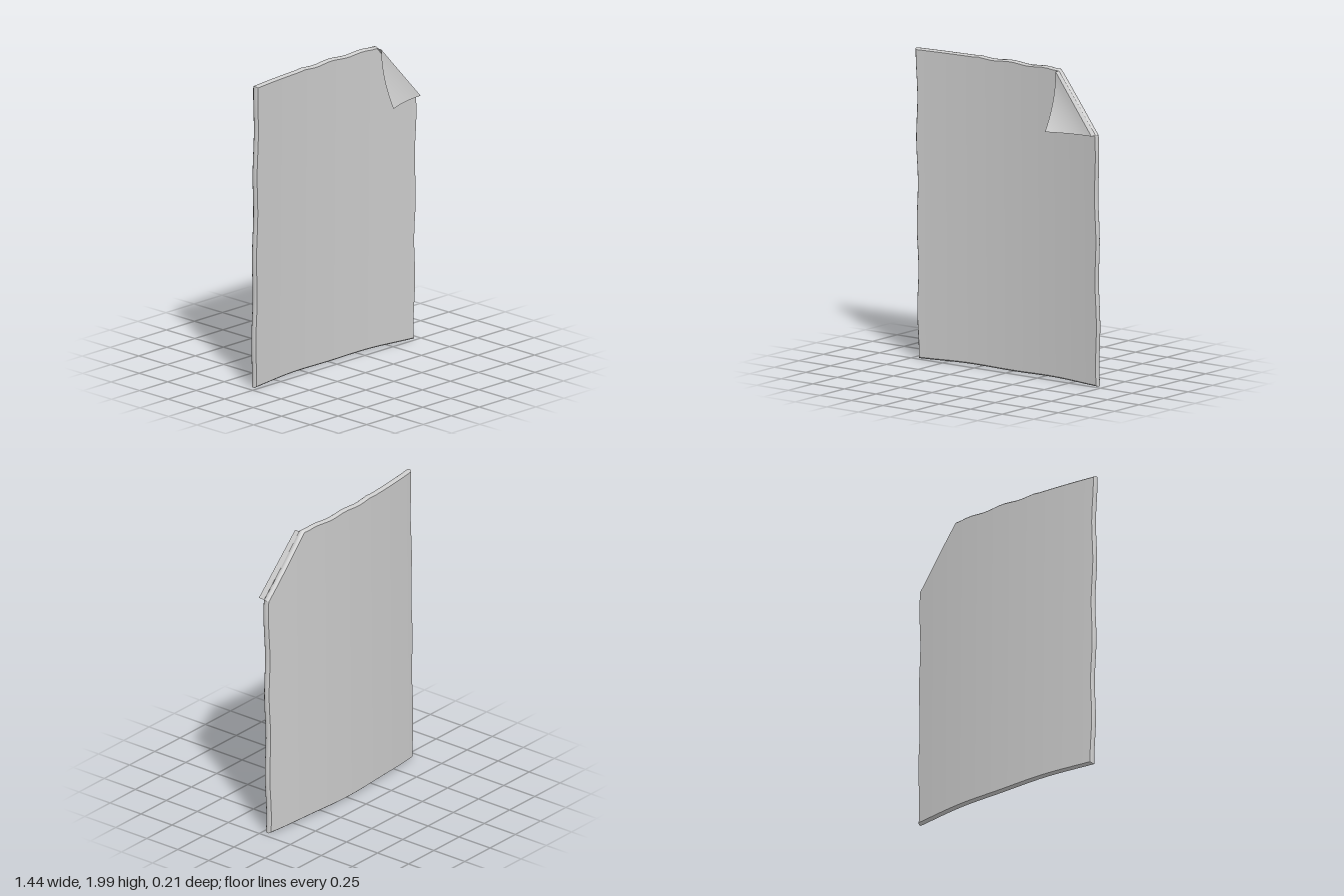
import * as THREE from 'three';

const { lerp } = THREE.MathUtils;
const HALF = 0.713, CUT_X = 0.395, CUT_Y = 1.615, TOP = 1.991, BOTTOM = 0.009;

// Front surface of the sheet: bowed across its width, leaning slightly with height
const bow = (x, y) => -0.065 + 0.05 * (x / HALF) ** 2 + 0.01 * y;

// Curved sheet with uneven edges, rounded sides and one cut corner
function sheetGeometry() {
  const geo = new THREE.BoxGeometry(1, 1, 1, 32, 40, 4);
  const p = geo.attributes.position;
  for (let i = 0; i < p.count; i++) {
    const u = p.getX(i) + 0.5, v = p.getY(i) + 0.5, s = p.getZ(i) * 2;
    let x = u <= 0.75 ? lerp(-HALF, CUT_X, u / 0.75) : lerp(CUT_X, HALF, (u - 0.75) / 0.25);
    const over = Math.max(0, (x - CUT_X) / (HALF - CUT_X));
    const ripple = x > -0.28 && x < CUT_X ? 0.005 * Math.cos(x * 22.4) : 0;
    const top = lerp(TOP, CUT_Y, over) + ripple;
    const bottom = BOTTOM - 0.003 * Math.cos(x * 9);
    let y = lerp(bottom, top, v);
    // Ragged left and right edges
    const side = Math.abs(x / HALF) ** 8;
    x += side * 0.005 * Math.sin(y * 11.4 + (x > 0 ? -2.9 : 1.2));
    // Rounded rim
    const inset = 0.009 * s ** 4;
    x *= 1 - inset / HALF;
    y = lerp(y, 1, inset);
    p.setXYZ(i, x, y, bow(x, y) - 0.02 + 0.02 * s);
  }
  geo.computeVertexNormals();
  return geo;
}

// Grid of points from a function of (u, v)
function patch(fn, nu, nv) {
  const geo = new THREE.PlaneGeometry(1, 1, nu, nv);
  const p = geo.attributes.position;
  for (let i = 0; i < p.count; i++) {
    p.setXYZ(i, ...fn(p.getX(i) + 0.5, 0.5 - p.getY(i)));
  }
  geo.computeVertexNormals();
  return geo;
}

export function createModel() {
  const group = new THREE.Group();
  const paper = new THREE.MeshStandardMaterial({ color: 0xcccccc, side: THREE.DoubleSide });
  paper.name = 'pale grey paper';
  const add = (name, geo) => {
    const mesh = new THREE.Mesh(geo, paper);
    mesh.name = name;
    group.add(mesh);
  };

  add('sheet', sheetGeometry());

  // Fold line along the cut corner, lifted off the sheet
  const foldX = (u) => lerp(CUT_X, 0.708, u);
  const foldY = (u) => lerp(1.982, CUT_Y, u);
  const foldZ = (u) => lerp(0, 0.038, u);
  add('foldBend', patch((u, v) => {
    const x = foldX(u), y = foldY(u);
    return [x, y, lerp(bow(x, y) - 0.005, foldZ(u), 1 - v)];
  }, 10, 1));

  // Turned-down corner curling away from the sheet
  add('foldedCorner', patch((u, v) => [
    lerp(foldX(u), CUT_X, v),
    lerp(foldY(u), CUT_Y, v),
    lerp(foldZ(u), 0.108, v * v),
  ], 10, 10));

  return group;
}
